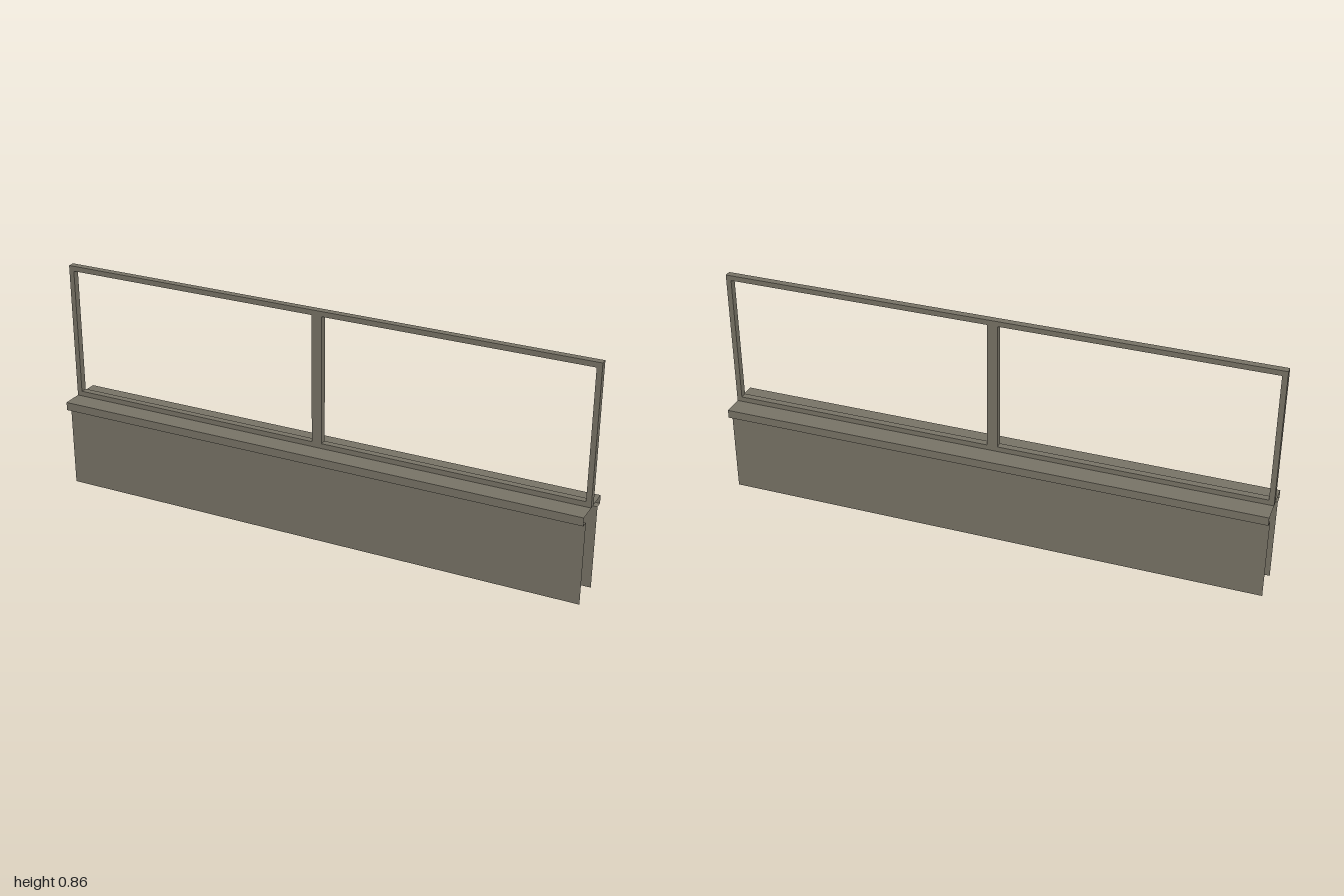
import * as THREE from 'three';

const LENGTH = 2;

// Open sheet: a (z, y) cross-section swept along the full length in x
function sweptSheet(name, profile, material) {
  const positions = [];
  const h = LENGTH / 2;
  for (let i = 0; i < profile.length - 1; i++) {
    const [z0, y0] = profile[i];
    const [z1, y1] = profile[i + 1];
    positions.push(-h, y0, z0, h, y0, z0, h, y1, z1);
    positions.push(-h, y0, z0, h, y1, z1, -h, y1, z1);
  }
  const geometry = new THREE.BufferGeometry();
  geometry.setAttribute('position', new THREE.Float32BufferAttribute(positions, 3));
  geometry.computeVertexNormals();
  const mesh = new THREE.Mesh(geometry, material);
  mesh.name = name;
  return mesh;
}

function box(name, w, h, d, x, y, material) {
  const mesh = new THREE.Mesh(new THREE.BoxGeometry(w, h, d), material);
  mesh.name = name;
  mesh.position.set(x, y, 0);
  return mesh;
}

export function createModel() {
  const model = new THREE.Group();
  model.name = 'parapetWithRailing';

  const metal = new THREE.MeshStandardMaterial({ color: 0x7a7568 });
  metal.name = 'warm grey';
  const sheet = new THREE.MeshStandardMaterial({ color: 0x7a7568, side: THREE.DoubleSide });
  sheet.name = 'warm grey sheet';

  const wallZ = 0.061, copeZ = 0.088, wallTop = 0.31, copeTop = 0.341;

  // Two thin wall skins, open at the ends and underneath
  model.add(sweptSheet('frontWall', [[wallZ, 0], [wallZ, wallTop]], sheet));
  model.add(sweptSheet('backWall', [[-wallZ, wallTop], [-wallZ, 0]], sheet));

  // Coping with narrow soffits, open at the ends
  model.add(sweptSheet('coping', [
    [wallZ, wallTop], [copeZ, wallTop], [copeZ, copeTop],
    [-copeZ, copeTop], [-copeZ, wallTop], [-wallZ, wallTop],
  ], sheet));

  // Railing frame standing on the coping
  const bar = 0.019, depth = 0.025, top = 0.855;
  const railing = new THREE.Group();
  railing.name = 'railing';
  const postHeight = top - copeTop - 2 * bar;
  const postY = (top + copeTop) / 2;
  railing.add(box('bottomRail', LENGTH, bar, depth, 0, copeTop + bar / 2, metal));
  railing.add(box('topRail', LENGTH, bar, depth, 0, top - bar / 2, metal));
  railing.add(box('middlePost', 2 * bar, postHeight, depth, 0, postY, metal));
  for (const side of [-1, 1]) {
    const name = side > 0 ? 'leftPost' : 'rightPost';
    railing.add(box(name, bar, postHeight, depth, side * (LENGTH - bar) / 2, postY, metal));
  }
  model.add(railing);
  return model;
}
